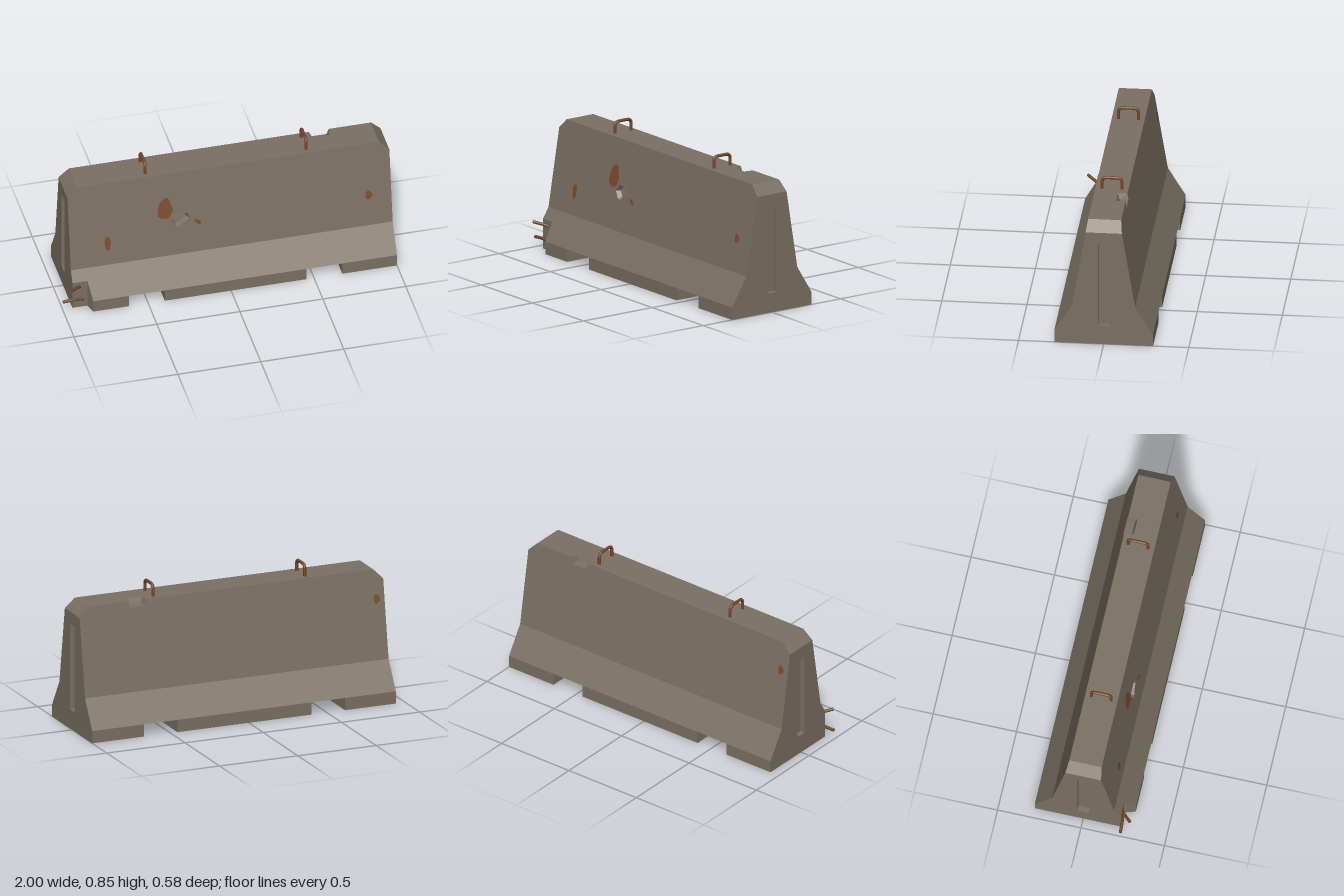
import * as THREE from 'three';

const concrete = new THREE.MeshStandardMaterial({ color: 0x7a7062 });
concrete.name = 'concrete';
const rust = new THREE.MeshStandardMaterial({ color: 0x7d4b28 });
rust.name = 'rust stain';
const steel = new THREE.MeshStandardMaterial({ color: 0x744627 });
steel.name = 'rusty steel';

// Key dimensions
const X0 = -0.94, X1 = 1, TOP = 0.775, SHOULDER = 0.715, CH = 0.06;
const FOOT = 0.075, KINK = 0.245;
const FEET = [[X0, -0.615], [-0.4, 0.455], [0.67, X1]];

// Half thickness of the barrier at height y
function halfWidth(y) {
  if (y <= FOOT) return 0.29;
  if (y <= KINK) return 0.29 - 0.105 * (y - FOOT) / (KINK - FOOT);
  return 0.185 - 0.088 * (y - KINK) / (TOP - KINK);
}

// Adds a flat polygon (with holes) facing the direction "out"
function face(tris, out, pts, ...holes) {
  const axis = [0, 1, 2].reduce((a, b) => (Math.abs(out[b]) > Math.abs(out[a]) ? b : a), 0);
  const flat = (p) => new THREE.Vector2(...p.filter((_, i) => i !== axis));
  const all = [pts, ...holes].flat().map((p) => new THREE.Vector3(...p));
  const dir = new THREE.Vector3(...out);
  for (const t of THREE.ShapeUtils.triangulateShape(pts.map(flat), holes.map((h) => h.map(flat)))) {
    const [a, b, c] = t.map((i) => all[i]);
    const n = b.clone().sub(a).cross(c.clone().sub(a));
    for (const v of n.dot(dir) < 0 ? [a, c, b] : [a, b, c]) tris.push(v.x, v.y, v.z);
  }
}

// Walls and floor of a recess, from its rim to its inner outline
function recess(tris, out, rim, inner) {
  const mid = inner.reduce((s, p) => s.add(new THREE.Vector3(...p)), new THREE.Vector3()).divideScalar(inner.length);
  rim.forEach((p, i) => {
    const j = (i + 1) % rim.length;
    const v = [p, rim[j], inner[j], inner[i]].map((q) => new THREE.Vector3(...q));
    for (const t of [[0, 1, 2], [0, 2, 3]]) {
      let [a, b, c] = t.map((k) => v[k]);
      const n = b.clone().sub(a).cross(c.clone().sub(a));
      if (n.dot(mid.clone().sub(a)) < 0) [b, c] = [c, b];
      for (const q of [a, b, c]) tris.push(q.x, q.y, q.z);
    }
  });
  face(tris, out, inner);
}

function mesh(name, tris, material) {
  const geo = new THREE.BufferGeometry();
  geo.setAttribute('position', new THREE.Float32BufferAttribute(tris, 3));
  geo.computeVertexNormals();
  const m = new THREE.Mesh(geo, material);
  m.name = name;
  return m;
}

// Maps outline points (x, y) onto the front (s = 1) or back (s = -1)
const onSide = (s, pts, lift = 0) => pts.map(([x, y]) => [x, y, s * (halfWidth(y) + lift)]);

function buildSides() {
  const t = [];
  const chip = onSide(1, [[-0.33, 0.472], [-0.3, 0.512], [-0.23, 0.505], [-0.212, 0.468], [-0.245, 0.452], [-0.28, 0.422], [-0.3, 0.428]]);
  for (const s of [1, -1]) {
    const out = [0, 0, s];
    for (const [a, b] of FEET) {
      const l = s > 0 && a === X0 ? -0.83 : a;
      face(t, out, onSide(s, [[l, 0], [b, 0], [b, FOOT], [l, FOOT]]));
    }
    const corner = s > 0 ? [[X0, 0.18], [-0.85, 0.18], [-0.83, FOOT]] : [[X0, FOOT]];
    face(t, out, onSide(s, [[X1, FOOT], [X1, KINK], [X0, KINK], ...corner]));
    const gap = s < 0 ? [[0.685, TOP], [0.675, 0.735], [0.575, 0.735], [0.565, TOP]] : [];
    const upper = [[X0, KINK], [X1, KINK], [X1, SHOULDER], [X1 - CH, TOP], ...gap, [X0 + CH, TOP], [X0, SHOULDER]];
    face(t, out, onSide(s, upper), ...(s > 0 ? [chip] : []));
  }
  // Chipped hollow in the front
  recess(t, [0, 0, 1], chip, chip.map(([x, y, z]) => [-0.27 + (x + 0.27) * 0.72, 0.468 + (y - 0.468) * 0.72, z - 0.025]));
  return mesh('barrierSides', t, concrete);
}

function buildTop() {
  const t = [], w = halfWidth(TOP), b = halfWidth(0.735);
  const rim = [[0.565, TOP, -w], [0.575, TOP, -0.04], [0.675, TOP, -0.04], [0.685, TOP, -w]];
  const low = [[0.575, 0.735, -b], [0.585, 0.74, -0.055], [0.665, 0.74, -0.055], [0.675, 0.735, -b]];
  face(t, [0, 1, 0], [[X0 + CH, TOP, -w], ...rim, [X1 - CH, TOP, -w], [X1 - CH, TOP, w], [X0 + CH, TOP, w]]);
  // Broken notch in the rear top edge
  [[1, 0, 0], [0, 0, -1], [-1, 0, 0]].forEach((out, i) => face(t, out, [rim[i], rim[i + 1], low[i + 1], low[i]]));
  face(t, [0, 1, 0], low);
  return mesh('barrierTop', t, concrete);
}

function buildEnds() {
  const t = [], h = halfWidth(SHOULDER), w = halfWidth(TOP);
  for (const s of [1, -1]) {
    const x = s > 0 ? X1 : X0;
    const frontFoot = s > 0 ? [[0.29, 0], [0.29, FOOT]] : [[0.225, 0], [0.225, 0.18]];
    const outline = [[-0.29, 0], ...frontFoot, [0.185, KINK], [h, SHOULDER], [-h, SHOULDER], [-0.185, KINK], [-0.29, FOOT]];
    const slot = [[-0.034, 0.118], [0.034, 0.118], [0.034, 0.64], [-0.034, 0.64]];
    const at = (pts, px) => pts.map(([z, y]) => [px, y, z]);
    face(t, [s, 0, 0], at(outline, x), at(slot, x));
    // Vertical joint slot
    recess(t, [s, 0, 0], at(slot, x), at(slot, x - s * 0.03));
    // Sloped top corner
    face(t, [s, 1, 0], [[x, SHOULDER, -h], [x, SHOULDER, h], [x - s * CH, TOP, w], [x - s * CH, TOP, -w]]);
  }
  // Broken lower corner
  face(t, [0, 0, 1], [[X0, 0, 0.225], [-0.85, 0, 0.225], [-0.85, 0.18, 0.225], [X0, 0.18, 0.225]]);
  face(t, [-1, 0, 0], [[-0.85, 0, 0.225], [-0.83, 0, 0.29], [-0.83, FOOT, 0.29], [-0.85, 0.18, 0.225]]);
  return mesh('barrierEnds', t, concrete);
}

function buildUnderside() {
  const t = [], z = 0.29;
  FEET.forEach(([a, b], i) => {
    const corner = i === 0 ? [[-0.83, 0, z], [-0.85, 0, 0.225], [a, 0, 0.225]] : [[a, 0, z]];
    face(t, [0, -1, 0], [[a, 0, -z], [b, 0, -z], [b, 0, z], ...corner]);
    if (i === 2) return;
    // Lifting gap between two feet
    const c = FEET[i + 1][0];
    face(t, [0, -1, 0], [[b, FOOT, -z], [c, FOOT, -z], [c, FOOT, z], [b, FOOT, z]]);
    for (const [x, d] of [[b, 1], [c, -1]]) face(t, [d, 0, 0], [[x, 0, -z], [x, 0, z], [x, FOOT, z], [x, FOOT, -z]]);
  });
  return mesh('barrierUnderside', t, concrete);
}

// Irregular rust stain lying on a side
function stain(name, s, cx, cy, rx, ry, tilt = 0) {
  const t = [], pts = [];
  for (let i = 0; i < 18; i++) {
    const a = i / 18 * Math.PI * 2, r = 1 + 0.08 * Math.sin(3 * a + cx * 9) + 0.05 * Math.cos(5 * a);
    const u = Math.cos(a) * rx * r, v = Math.sin(a) * ry * r;
    pts.push([cx + u * Math.cos(tilt) - v * Math.sin(tilt), cy + u * Math.sin(tilt) + v * Math.cos(tilt)]);
  }
  face(t, [0, 0, s], onSide(s, pts, 0.002));
  return mesh(name, t, rust);
}

// Bent steel bar with closed tips
function bar(name, points, bend = 0) {
  const v = points.map((p) => new THREE.Vector3(...p));
  const path = new THREE.CurvePath();
  let from = v[0];
  for (let i = 1; i < v.length - 1; i++) {
    const p = v[i].clone().add(v[i - 1].clone().sub(v[i]).setLength(bend));
    const q = v[i].clone().add(v[i + 1].clone().sub(v[i]).setLength(bend));
    path.add(new THREE.LineCurve3(from, p));
    path.add(new THREE.QuadraticBezierCurve3(p, v[i], q));
    from = q;
  }
  const last = v[v.length - 1];
  path.add(new THREE.LineCurve3(from, last));
  const g = new THREE.Group();
  g.name = name;
  g.add(new THREE.Mesh(new THREE.TubeGeometry(path, 40, 0.0095, 12), steel));
  for (const [end, next] of [[v[0], v[1]], [last, v[v.length - 2]]]) {
    const cap = new THREE.Mesh(new THREE.CircleGeometry(0.0095, 12), steel);
    cap.position.copy(end);
    cap.lookAt(end.clone().multiplyScalar(2).sub(next));
    g.add(cap);
  }
  g.children.forEach((m) => { m.name = name + 'Steel'; });
  return g;
}

export function createModel() {
  const model = new THREE.Group();
  model.name = 'concreteBarrier';
  model.add(buildSides(), buildTop(), buildEnds(), buildUnderside());
  model.add(
    stain('largeStain', 1, -0.36, 0.55, 0.044, 0.068, -0.1),
    stain('sideStain', 1, -0.712, 0.385, 0.019, 0.046),
    stain('smallStain', 1, -0.166, 0.438, 0.025, 0.011, -0.75),
    stain('endStain', 1, 0.863, 0.442, 0.021, 0.028),
    stain('rearStain', -1, -0.89, 0.6, 0.02, 0.027),
  );
  // Lifting loops
  for (const x of [-0.46, 0.51]) {
    model.add(bar('liftingLoop', [[x, 0.74, 0.058], [x, 0.845, 0.058], [x, 0.845, -0.06], [x, 0.74, -0.06]], 0.03));
  }
  // Bars exposed at the broken corner
  model.add(
    bar('upperExposedBar', [[-0.885, 0.138, 0.21], [-0.915, 0.153, 0.238], [-0.96, 0.168, 0.285]], 0.015),
    bar('lowerExposedBar', [[-0.87, 0.052, 0.222], [-0.935, 0.064, 0.232], [-1, 0.061, 0.236]], 0.02),
  );
  return model;
}
